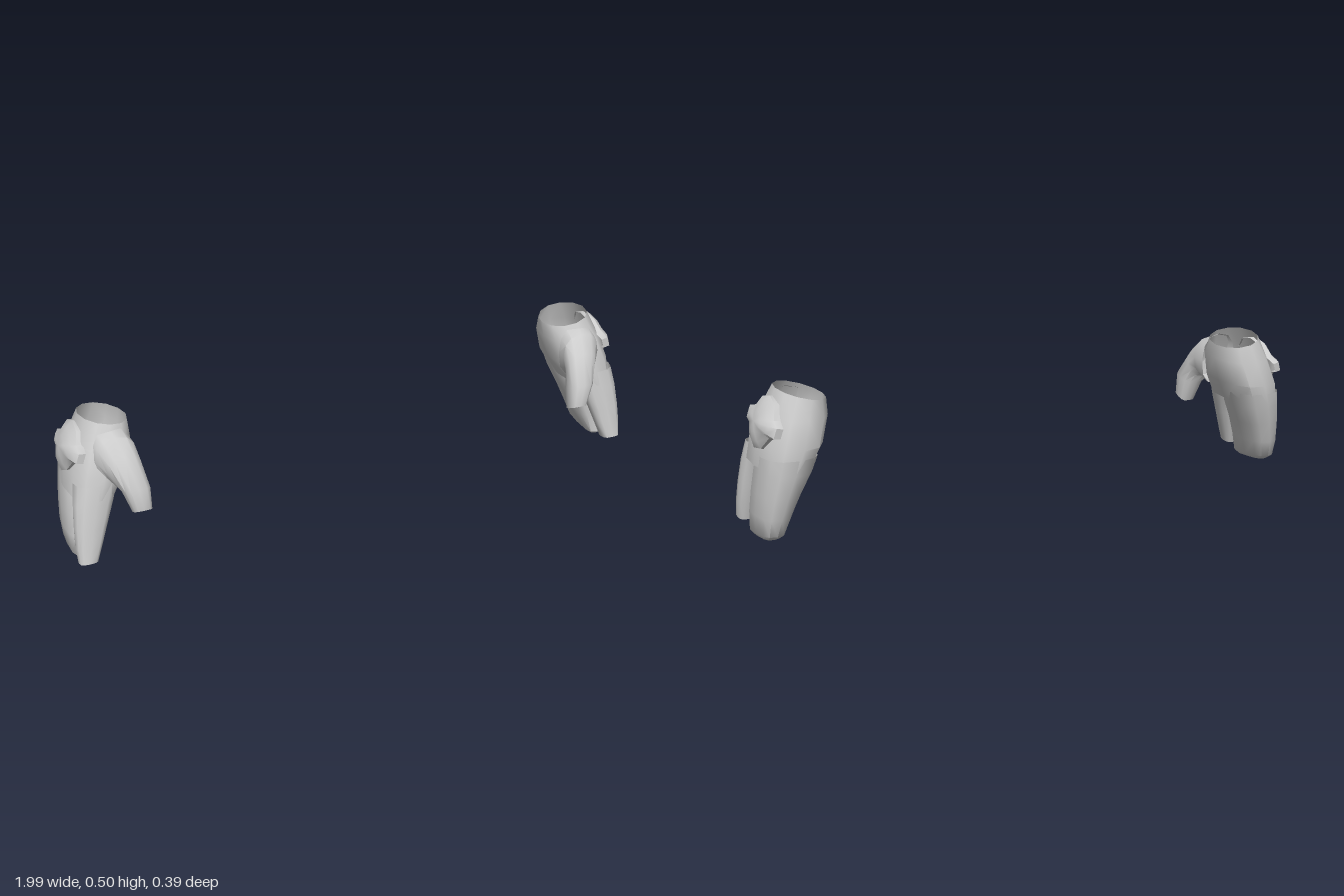
import * as THREE from 'three';
import { toCreasedNormals } from 'three/addons/utils/BufferGeometryUtils.js';

const SIDES = 12;
const material = new THREE.MeshStandardMaterial({ color: 0xcccccc, side: THREE.DoubleSide });

// Cross-section spanning two (z, y) points and an x range; power < 1 squares it off
function ring([z0, y0], [z1, y1], x0, x1, power = 0.8, tilt = 0) {
  const round = (v) => Math.sign(v) * Math.abs(v) ** power;
  const points = [];
  for (let i = 0; i < SIDES; i++) {
    const a = (i / SIDES) * Math.PI * 2;
    const u = round(Math.cos(a)) * (x1 - x0) / 2;
    const t = (round(Math.sin(a)) + 1) / 2;
    points.push(new THREE.Vector3((x0 + x1) / 2 + u, y0 + (y1 - y0) * t + tilt * u, z0 + (z1 - z0) * t));
  }
  return points;
}

// Skin over a row of rings, optionally closed by a fan to the end point
function loft(name, rings, end) {
  const n = rings[0].length;
  const points = rings.flat();
  const index = [];
  for (let k = 0; k < rings.length - 1; k++) {
    for (let i = 0; i < n; i++) {
      const a = k * n + i, b = k * n + (i + 1) % n;
      index.push(a, b, a + n, b, b + n, a + n);
    }
  }
  if (end) {
    const base = (rings.length - 1) * n;
    for (let i = 0; i < n; i++) index.push(base + i, base + (i + 1) % n, points.length);
    points.push(end);
  }
  const geometry = new THREE.BufferGeometry().setFromPoints(points);
  geometry.setIndex(index);
  const mesh = new THREE.Mesh(toCreasedNormals(geometry, 0.85), material);
  mesh.name = name;
  return mesh;
}

// Domed plate on the back of the hand, leaning with the knuckles
function backPlate() {
  const outline = [
    [0.06, 0.42], [0.019, 0.43], [-0.01, 0.462], [-0.063, 0.473], [-0.11, 0.455], [-0.135, 0.412], [-0.169, 0.395],
    [-0.167, 0.364], [-0.135, 0.359], [-0.097, 0.32], [-0.047, 0.313], [-0.003, 0.336], [0.026, 0.375], [0.06, 0.387],
  ].reverse();
  const cz = -0.055, cy = 0.393;
  const place = (z, y, scale, lift) => {
    const py = cy + (y - cy) * scale;
    return new THREE.Vector3(0.934 + (0.473 - py) * 0.33 + lift, py + lift * 0.2, cz + (z - cz) * scale);
  };
  const layers = [[1, -0.022], [1, 0], [0.75, 0.014], [0.4, 0.024]];
  const rings = layers.map(([s, lift]) => outline.map(([z, y]) => place(z, y, s, lift)));
  return loft('backPlate', rings, place(cz, cy, 1, 0.028));
}

function createGlove(name) {
  const glove = new THREE.Group();
  glove.name = name;

  // Hollow palm, open at the wrist
  glove.add(loft('palm', [
    ring([-0.162, 0.468], [0.036, 0.488], 0.76, 0.917, 1, 0.22),
    ring([-0.178, 0.405], [0.07, 0.42], 0.762, 0.95),
    ring([-0.195, 0.32], [0.094, 0.335], 0.785, 0.98),
    ring([-0.186, 0.25], [0.102, 0.26], 0.825, 0.988),
  ]));

  // Joined rear fingers
  glove.add(loft('joinedFingers', [
    ring([-0.19, 0.29], [0.01, 0.29], 0.81, 0.983),
    ring([-0.185, 0.24], [0.023, 0.24], 0.83, 0.988, 0.75),
    ring([-0.17, 0.17], [0.03, 0.17], 0.865, 0.994, 0.72),
    ring([-0.154, 0.1], [0.037, 0.1], 0.895, 0.997, 0.7),
    ring([-0.135, 0.043], [0.042, 0.032], 0.918, 0.992, 0.65),
    ring([-0.11, 0.027], [0.03, 0.022], 0.93, 0.983, 0.65),
  ], new THREE.Vector3(0.957, 0.016, -0.02)));

  // Separate front finger
  glove.add(loft('frontFinger', [
    ring([-0.01, 0.31], [0.094, 0.31], 0.83, 0.975),
    ring([0.02, 0.245], [0.104, 0.245], 0.855, 0.986, 0.75),
    ring([0.042, 0.17], [0.115, 0.17], 0.885, 0.993, 0.7),
    ring([0.06, 0.1], [0.124, 0.1], 0.912, 0.996, 0.65),
    ring([0.076, 0.045], [0.131, 0.055], 0.932, 0.993, 0.6),
  ], new THREE.Vector3(0.963, 0.042, 0.103)));

  // Thumb, curving forward and down from the palm
  glove.add(loft('thumb', [
    ring([0.04, 0.29], [0.03, 0.475], 0.775, 0.915),
    ring([0.08, 0.315], [0.072, 0.46], 0.77, 0.905),
    ring([0.092, 0.31], [0.122, 0.41], 0.765, 0.88),
    ring([0.102, 0.285], [0.181, 0.32], 0.755, 0.845, 0.75),
    ring([0.126, 0.215], [0.183, 0.243], 0.757, 0.818, 0.65),
  ], new THREE.Vector3(0.788, 0.225, 0.156)));

  glove.add(backPlate());
  return glove;
}

export function createModel() {
  const model = new THREE.Group();
  model.name = 'gloves';
  const left = createGlove('leftGlove');
  // The mirrored glove sits slightly lower and further forward
  const right = createGlove('rightGlove');
  right.scale.x = -1;
  right.position.set(0, -0.016, 0.016);
  model.add(left, right);
  return model;
}
